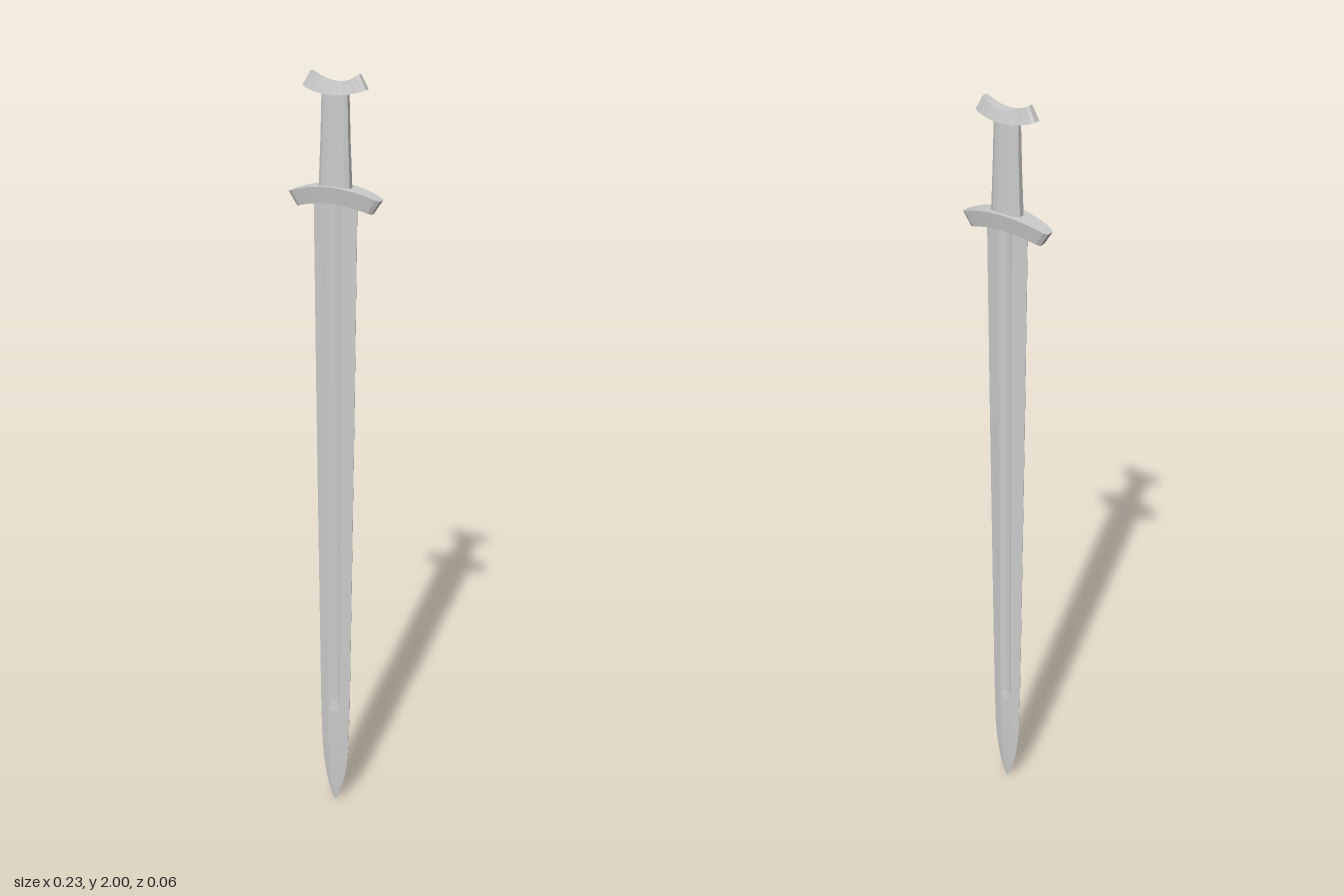
import * as THREE from 'three';

const material = new THREE.MeshStandardMaterial({ color: 0xcccccc, flatShading: true, roughness: 0.7 });

// Closed solid skinned over equal-length rings of [x, y, z] points.
function loft(name, rings) {
  const n = rings[0].length, tris = [];
  const centre = (ring) => [0, 1, 2].map((k) => ring.reduce((s, p) => s + p[k], 0) / n);
  const first = rings[0], last = rings[rings.length - 1];
  const c0 = centre(first), c1 = centre(last);
  for (let j = 0; j < n; j++) {
    const k = (j + 1) % n;
    for (let i = 0; i < rings.length - 1; i++) {
      const a = rings[i][j], b = rings[i][k], c = rings[i + 1][k], d = rings[i + 1][j];
      tris.push([a, b, c], [a, c, d]);
    }
    tris.push([c0, first[k], first[j]], [c1, last[j], last[k]]);
  }
  // Turn every face outward if the rings ran the other way round
  const volume = tris.reduce((s, [a, b, c]) => s + a[0] * (b[1] * c[2] - b[2] * c[1])
    + a[1] * (b[2] * c[0] - b[0] * c[2]) + a[2] * (b[0] * c[1] - b[1] * c[0]), 0);
  if (volume < 0) tris.forEach((t) => t.reverse());
  const geometry = new THREE.BufferGeometry();
  geometry.setAttribute('position', new THREE.Float32BufferAttribute(tris.flat(2), 3));
  geometry.computeVertexNormals();
  const mesh = new THREE.Mesh(geometry, material);
  mesh.name = name;
  return mesh;
}

// Blade: thin edges, two ridges and a hollow fuller that fades out before the point.
function blade() {
  // height, half width, half thickness, fuller depth
  const stations = [
    [1.73, 0.056, 0.008, 0.004], [1.2, 0.052, 0.008, 0.004], [0.7, 0.047, 0.008, 0.004],
    [0.33, 0.043, 0.008, 0.004], [0.3, 0.0425, 0.008, 0], [0.2, 0.04, 0.0075, 0],
    [0.14, 0.036, 0.0065, 0], [0.09, 0.029, 0.005, 0], [0.05, 0.02, 0.0035, 0],
    [0.02, 0.01, 0.002, 0], [0, 0.001, 0.0005, 0],
  ];
  return loft('blade', stations.map(([y, w, t, f]) => {
    const ridge = Math.min(0.018, w * 0.44);
    const half = [[w, 0.0006], [ridge, t]];
    for (const u of [0.5, 0, -0.5]) half.push([ridge * u, t - f * (1 - u * u)]);
    half.push([-ridge, t], [-w, 0.0006]);
    return [...half, ...half.map(([x, z]) => [-x, -z])].map(([x, z]) => [x, y, z]);
  }));
}

// Grip: tapered bar with an oval section.
function grip() {
  const stations = [[1.73, 0.04, 0.018], [1.85, 0.035, 0.0155], [1.965, 0.032, 0.013]];
  const oval = [[1, 0.4], [0.75, 0.8], [0.35, 1], [-0.35, 1], [-0.75, 0.8], [-1, 0.4]];
  const section = [...oval, ...oval.map(([x, z]) => [-x, -z])];
  return loft('grip', stations.map(([y, w, d]) => section.map(([x, z]) => [x * w, y, z * d])));
}

// Curved crossbar: a wide face next to the grip and a narrower outer face.
// Each face is { length: half length, y: height at middle, bend: rise at ends, depth: half depth }.
function crossbar(name, wide, narrow) {
  const half = [[0, 1], [0.25, 0.98], [0.5, 0.87], [0.75, 0.72], [0.92, 0.57], [1, 0.35]];
  const plan = [...half.slice(1).reverse().map(([u, d]) => [-u, d]), ...half];
  return loft(name, plan.map(([u, d]) => {
    const pair = (face, side) =>
      [face.length * u, face.y + face.bend * u * u, side * face.depth * d];
    return [pair(wide, 1), pair(wide, -1), pair(narrow, -1), pair(narrow, 1)];
  }));
}

export function createModel() {
  const sword = new THREE.Group();
  sword.name = 'sword';
  sword.add(
    blade(),
    grip(),
    crossbar('guard',
      { length: 0.116, y: 1.747, bend: -0.024, depth: 0.028 },
      { length: 0.095, y: 1.708, bend: -0.018, depth: 0.022 }),
    crossbar('pommel',
      { length: 0.078, y: 1.953, bend: 0.014, depth: 0.022 },
      { length: 0.06, y: 1.978, bend: 0.022, depth: 0.016 }),
  );
  return sword;
}
